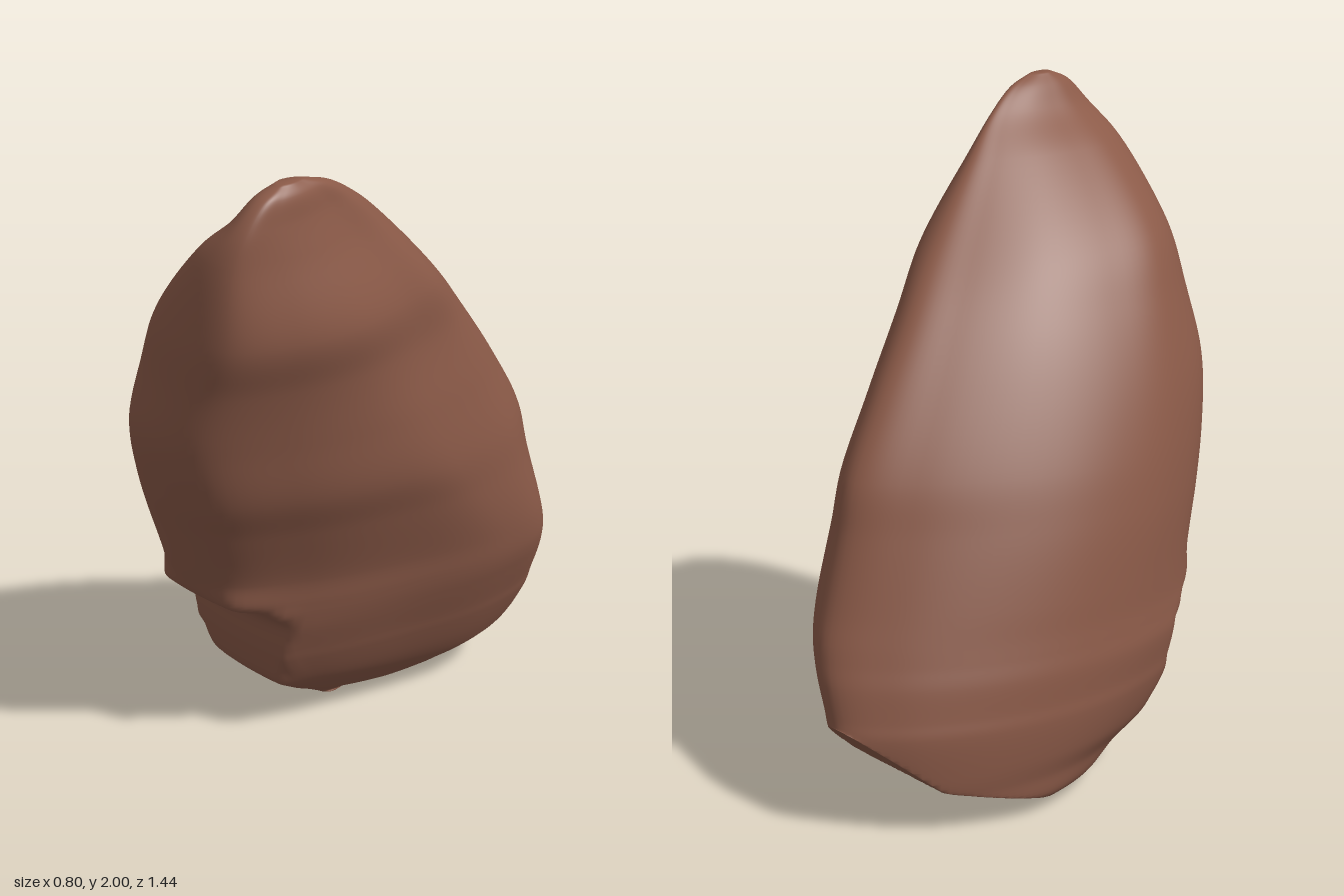
import * as THREE from 'three';

// Height, x range, front z, back z, front limit that carves the notch
const ROWS = [
  [0.0, -0.17, -0.11, -0.05, -0.1, 9],
  [0.015, -0.22, -0.05, -0.02, -0.42, 9],
  [0.05, -0.29, 0.05, 0.04, -0.57, 0.03],
  [0.13, -0.32, 0.135, 0.18, -0.66, 0.14],
  [0.2, -0.355, 0.18, 0.31, -0.69, 0.23],
  [0.31, -0.385, 0.235, 0.42, -0.715, 0.27],
  [0.36, -0.39, 0.255, 0.45, -0.71, 0.28],
  [0.45, -0.4, 0.295, 0.49, -0.7, 0.295],
  [0.51, -0.395, 0.32, 0.49, -0.685, 0.35],
  [0.56, -0.39, 0.335, 0.49, -0.67, 0.45],
  [0.65, -0.385, 0.35, 0.5, -0.635, 9],
  [0.85, -0.375, 0.37, 0.58, -0.565, 9],
  [1.0, -0.355, 0.385, 0.64, -0.52, 9],
  [1.2, -0.305, 0.38, 0.7, -0.4, 9],
  [1.4, -0.235, 0.382, 0.71, -0.25, 9],
  [1.57, -0.15, 0.4, 0.72, -0.1, 9],
  [1.8, 0.06, 0.35, 0.7, 0.13, 9],
  [1.9, 0.18, 0.33, 0.66, 0.25, 9],
  [1.97, 0.23, 0.32, 0.6, 0.36, 9],
  [2.0, 0.26, 0.3, 0.53, 0.45, 9],
];

// Outlines seen from above, scaled to -1..1, from the front round by +x
const LOW = [[-0.45, 1], [0, 0.93], [0.38, 0.6], [0.75, 0.1], [1, -0.45], [0.93, -0.8],
  [0.55, -1], [0.05, -0.87], [-0.5, -0.54], [-0.9, -0.05], [-1, 0.4], [-0.85, 0.85]];
const MID = [[-0.35, 1], [0.2, 0.95], [0.62, 0.6], [0.92, 0.15], [1, -0.2], [0.88, -0.72],
  [0.48, -1], [0.02, -0.83], [-0.5, -0.5], [-0.9, -0.03], [-1, 0.4], [-0.8, 0.85]];
const HIGH = [[-0.1, 1], [0.5, 0.94], [0.85, 0.55], [1, 0.1], [0.92, -0.4], [0.77, -0.82],
  [0.4, -1], [0, -0.84], [-0.5, -0.5], [-0.85, -0.05], [-1, 0.4], [-0.7, 0.85]];

const AROUND = 96;
const UP = 152;
const { lerp, clamp, smoothstep } = THREE.MathUtils;

// One horizontal ring of the stone
function ring([y, x0, x1, zf, zb, limit]) {
  const [from, to] = y < 1.1 ? [LOW, MID] : [MID, HIGH];
  const t = y < 1.1 ? smoothstep(y, 0.6, 1.1) : smoothstep(y, 1.1, 1.6);
  const points = from.map(([u, v], i) => new THREE.Vector3(
    (x0 + x1) / 2 + lerp(u, to[i][0], t) * (x1 - x0) / 2,
    y,
    (zf + zb) / 2 + lerp(v, to[i][1], t) * (zf - zb) / 2));
  const curve = new THREE.CatmullRomCurve3(points, true);
  return Array.from({ length: AROUND }, (_, j) => {
    const p = curve.getPoint(j / AROUND);
    p.z = Math.min(p.z, limit - 0.5 * (p.x + 0.15) ** 2);
    return p;
  });
}

// Height of the slanted cut under the back of the stone
function cutHeight(x, z) {
  const d = Math.max(0, -0.07 - z);
  return Math.max(0.3 * d, 0.9 * d - 0.28) + 0.15 * Math.max(0, x + 0.14) * Math.min(1, 4 * d);
}

function stoneGeometry() {
  const rings = ROWS.map(ring);
  const pos = [];
  const index = [];
  const columns = [];
  for (let j = 0; j < AROUND; j++) {
    columns.push(new THREE.CatmullRomCurve3(rings.map((r) => r[j])));
  }
  for (let i = 0; i <= UP; i++) {
    for (let j = 0; j < AROUND; j++) {
      const p = columns[j].getPoint(i / UP);
      // Faint weathered ripples that fade out at both ends
      const fade = Math.sin(Math.PI * i / UP);
      const d = 0.003 * fade * Math.sin(9 * p.z + 4 * p.y) * Math.sin(7 * p.y - 5 * p.z + 6 * p.x);
      const y = Math.max(clamp(p.y, 0, 2), cutHeight(p.x, p.z));
      pos.push(p.x + d, y, p.z);
      if (i === UP) continue;
      const a = i * AROUND + j;
      const b = i * AROUND + (j + 1) % AROUND;
      index.push(a, b, b + AROUND, a, b + AROUND, a + AROUND);
    }
  }
  // Close the bottom tip and the crest
  const base = pos.length / 3;
  pos.push(-0.14, 0, -0.075, 0.28, 2, 0.49);
  for (let j = 0; j < AROUND; j++) {
    const k = (j + 1) % AROUND;
    index.push(base, k, j, base + 1, UP * AROUND + j, UP * AROUND + k);
  }
  const geometry = new THREE.BufferGeometry();
  geometry.setAttribute('position', new THREE.Float32BufferAttribute(pos, 3));
  geometry.setIndex(index);
  geometry.computeVertexNormals();
  return geometry;
}

export function createModel() {
  const group = new THREE.Group();
  group.name = 'rock';
  const material = new THREE.MeshStandardMaterial({ color: 0x8b5a48 });
  material.name = 'reddish brown stone';
  const stone = new THREE.Mesh(stoneGeometry(), material);
  stone.name = 'stone';
  group.add(stone);
  return group;
}
